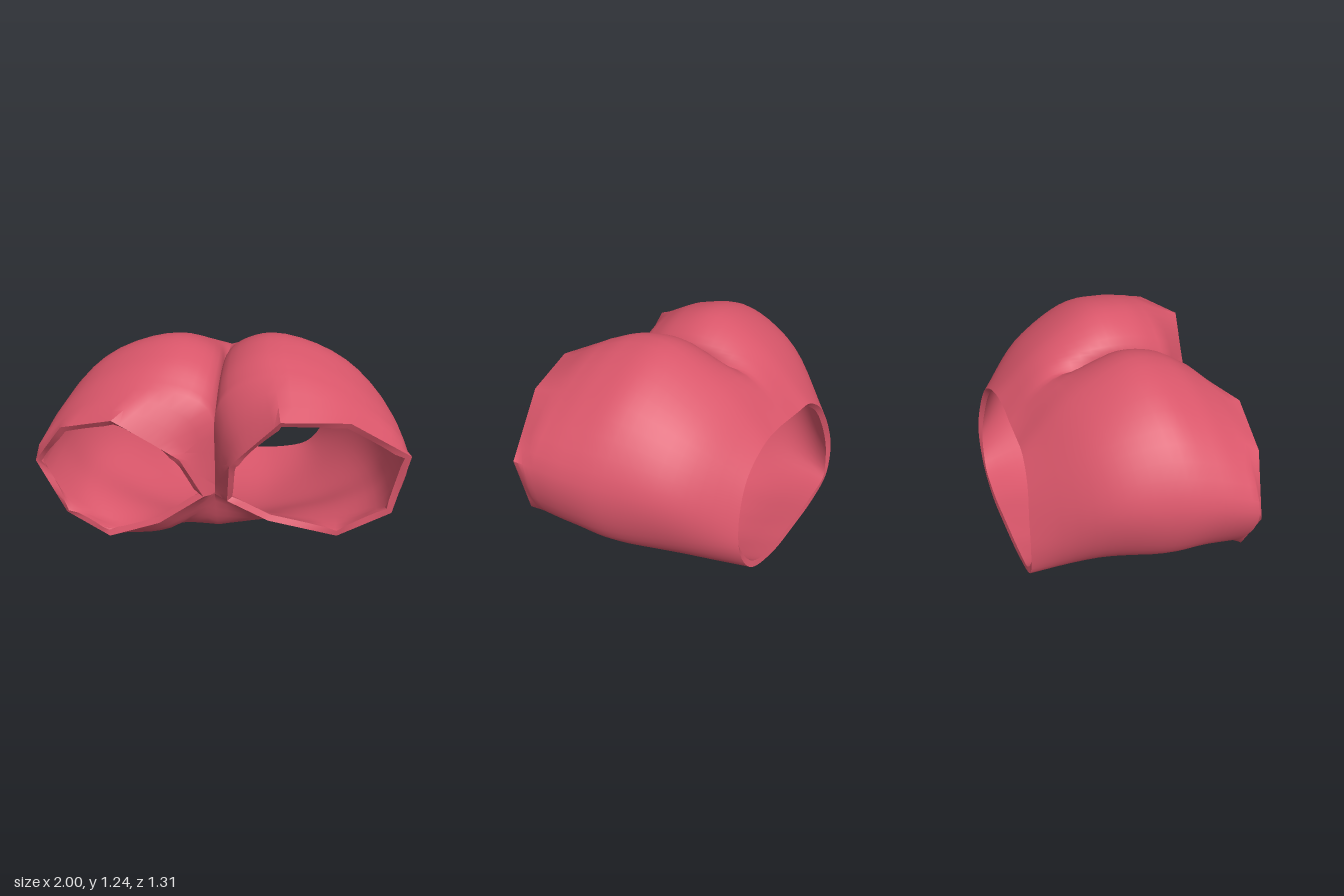
import * as THREE from 'three';
import { mergeGeometries, mergeVertices, toCreasedNormals } from 'three/addons/utils/BufferGeometryUtils.js';

const V = (x, y, z) => new THREE.Vector3(x, y, z);
const SUB = 5;            // samples between neighbouring section points
const SPANS = 8;          // spans in a section
const BODY_STEPS = 20;    // rows from waist to crotch
const LEG_STEPS = 3;      // rows from crotch to hem
const THICKNESS = 0.035;  // cloth

// Half openings of the waist, from seat seam around the outside to belly seam
const LEFT_WAIST = [[0, .82, -.56], [.12, .83, -.55], [.28, .83, -.55], [.47, .74, -.555], [.58, .55, -.575], [.6, .36, -.6], [.49, .17, -.62], [.25, .09, -.64], [0, .08, -.65]];
const RIGHT_WAIST = [[0, .82, -.56], [-.12, .8, -.565], [-.25, .78, -.575], [-.38, .68, -.6], [-.46, .52, -.63], [-.51, .32, -.65], [-.47, .13, -.655], [-.25, .08, -.655], [0, .08, -.65]];

// Half sections of the body in the same order; past the back the seam sinks
// into a tight fold between the two seat lobes
const SECTIONS = [
  { z: -0.30, drop: 0.15, sx: 0.95, pts: [[0, 1.02], [.1, 1.05], [.28, 1.06], [.6, .95], [.8, .7], [.77, .42], [.58, .18], [.3, .035], [0, 0]] },
  { z: 0.00, drop: 0.35, sx: 0.98, pts: [[0, 1.0], [.03, 1.12], [.25, 1.225], [.66, 1.09], [.92, .76], [.89, .43], [.66, .21], [.3, .06], [0, .02]] },
  { z: 0.23, drop: 0.70, sx: 0.99, pts: [[0, .86], [.02, 1.09], [.25, 1.225], [.68, 1.09], [.97, .78], [.92, .44], [.67, .27], [.32, .17], [0, .14, .3]] },
  { z: 0.41, drop: 1.10, sx: 1.01, pts: [[0, .5], [.03, 1.0], [.3, 1.165], [.68, 1.06], [.985, .79], [.93, .45], [.67, .285], [.3, .29], [0, .44, .42]] },
];

// Eight-sided leg openings, with one extra point on the upper inner edge
const LEFT_HEM = [[.1, .74, .6], [.2, .86, .62], [.35, 1.04, .655], [.68, 1.02, .58], [1, .8, .48], [.94, .45, .48], [.67, .27, .48], [.3, .34, .49], [.08, .47, .52]];
const RIGHT_HEM = [[-.16, .73, .56], [-.3, .82, .565], [-.5, .94, .57], [-.8, .84, .5], [-1, .57, .42], [-.85, .25, .44], [-.6, .125, .47], [-.3, .27, .5], [-.05, .47, .5]];

// Adds the straight inner-leg stretch that closes a section
function closeRow(row) {
  const first = row[0], last = row[row.length - 1];
  for (let i = 1; i <= SUB; i++) row.push(last.clone().lerp(first, i / SUB));
  return row;
}

const smoothRow = corners =>
  closeRow(new THREE.CatmullRomCurve3(corners, false, 'centripetal').getPoints(SPANS * SUB));

function sectionRow({ z, drop, sx, pts }, side) {
  return smoothRow(pts.map(([x, y, pz = z]) => side > 0
    ? V(x, y, pz)
    // the right leg rolls outward and down
    : V(-x * (sx - 0.3 * drop * (0.8 - y)), y - 0.17 * drop * Math.pow(x, 0.4), pz)));
}

function hemRow(hem) {
  const row = [];
  for (let i = 0; i <= SPANS * SUB; i++) {
    const k = Math.min(SPANS - 1, Math.floor(i / SUB));
    row.push(V(...hem[k]).lerp(V(...hem[k + 1]), i / SUB - k));
  }
  return closeRow(row);
}

// Outer cloth of one half, lofted from waist to hem
function halfShorts(side, waistPts, hemPts) {
  const rings = [smoothRow(waistPts.map(p => V(...p))), ...SECTIONS.map(s => sectionRow(s, side))];
  const hem = hemRow(hemPts);
  const columns = hem.map((_, u) =>
    new THREE.CatmullRomCurve3(rings.map(r => r[u]), false, 'catmullrom', 0.5).getPoints(BODY_STEPS));

  const rows = [];
  for (let v = 0; v <= BODY_STEPS; v++) rows.push(columns.map(c => c[v]));
  for (let v = 1; v <= LEG_STEPS; v++)
    rows.push(rows[BODY_STEPS].map((p, u) => p.clone().lerp(hem[u], v / LEG_STEPS)));

  const width = hem.length, index = [];
  for (let v = 0; v < rows.length - 1; v++) {
    // the inner-leg stretch exists only past the crotch
    const end = v < BODY_STEPS ? SPANS * SUB : width - 1;
    for (let u = 0; u < end; u++) {
      const a = v * width + u, b = a + width;
      if (side > 0) index.push(a, b, a + 1, a + 1, b, b + 1);
      else index.push(a, a + 1, b, a + 1, b + 1, b);
    }
  }
  const geometry = new THREE.BufferGeometry().setFromPoints(rows.flat());
  geometry.setIndex(index);
  return geometry;
}

// Gives an open surface an inner wall and closes its free edges
function thicken(outer, depth) {
  outer.computeVertexNormals();
  const pos = outer.attributes.position, normal = outer.attributes.normal;
  const n = pos.count, points = [], inner = [];
  for (let i = 0; i < n; i++) {
    const p = new THREE.Vector3().fromBufferAttribute(pos, i);
    points.push(p);
    inner.push(p.clone().addScaledVector(new THREE.Vector3().fromBufferAttribute(normal, i), -depth));
  }
  const faces = Array.from(outer.index.array), index = [...faces], edges = new Map();
  for (let f = 0; f < faces.length; f += 3) {
    const [a, b, c] = faces.slice(f, f + 3);
    index.push(a + n, c + n, b + n);
    for (const [s, e] of [[a, b], [b, c], [c, a]]) edges.set(s + '_' + e, [s, e]);
  }
  for (const [s, e] of edges.values())
    if (s !== e && !edges.has(e + '_' + s)) index.push(s, s + n, e, e, s + n, e + n);
  const geometry = new THREE.BufferGeometry().setFromPoints([...points, ...inner]);
  geometry.setIndex(index);
  return geometry;
}

export function createModel() {
  const group = new THREE.Group();
  group.name = 'shorts';
  const cloth = new THREE.MeshStandardMaterial({ color: 0xd9566a, side: THREE.DoubleSide });
  // Both halves are joined along the centre seam
  const outer = mergeVertices(mergeGeometries([
    halfShorts(1, LEFT_WAIST, LEFT_HEM),
    halfShorts(-1, RIGHT_WAIST, RIGHT_HEM),
  ]));
  const fabric = new THREE.Mesh(toCreasedNormals(thicken(outer, THICKNESS), 0.8), cloth);
  fabric.name = 'shortsFabric';
  group.add(fabric);
  return group;
}
